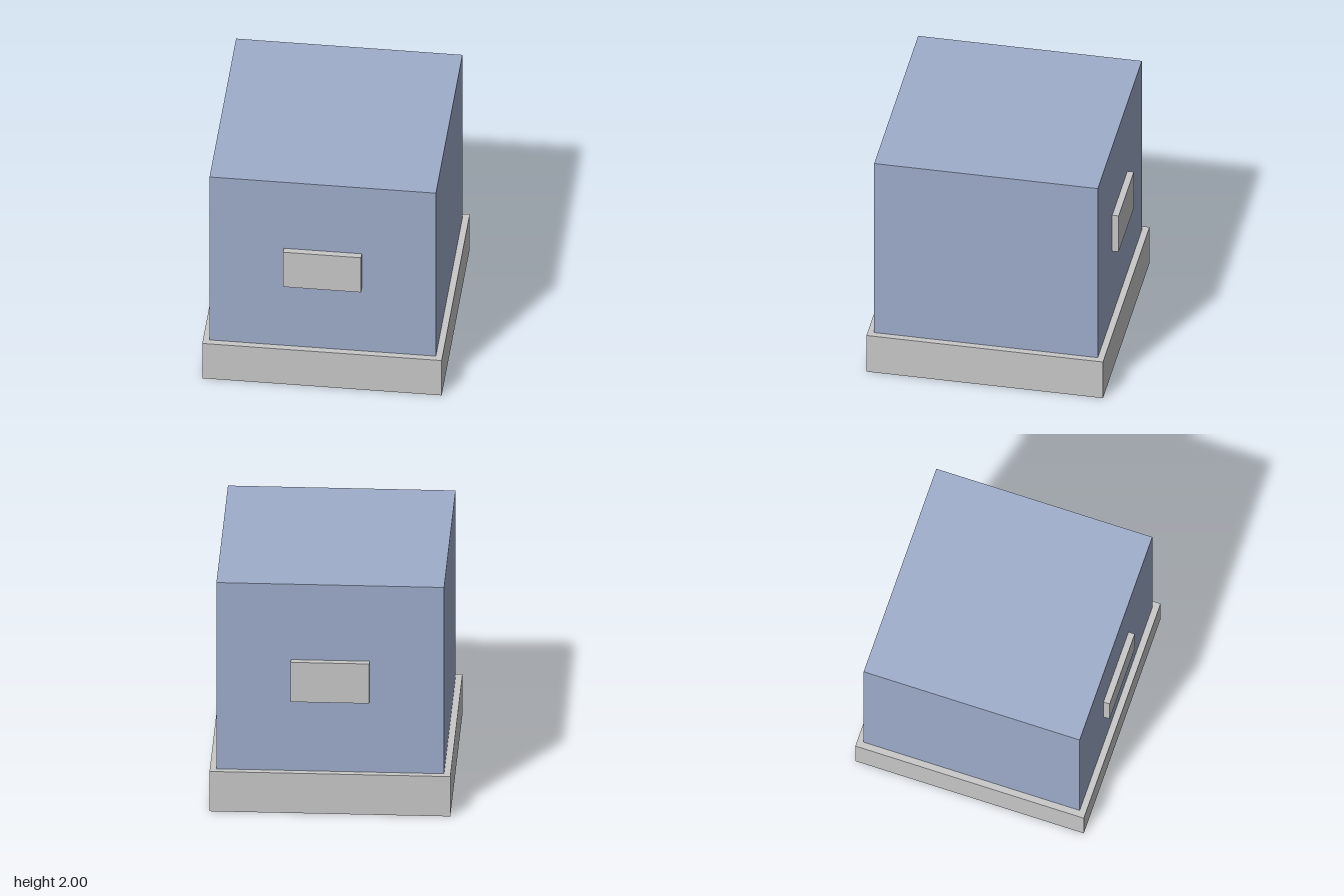
import * as THREE from 'three';

export function createModel() {
  const model = new THREE.Group();
  model.name = 'boxOnPlinth';

  const blue = new THREE.MeshStandardMaterial({ color: 0x9eadcb });
  blue.name = 'soft blue';
  const grey = new THREE.MeshStandardMaterial({ color: 0xc8c8c8 });
  grey.name = 'light grey';

  // Adds a box standing on height y0
  function addBox(name, material, width, height, depth, y0, z = 0) {
    const mesh = new THREE.Mesh(new THREE.BoxGeometry(width, height, depth), material);
    mesh.name = name;
    mesh.position.set(0, y0 + height / 2, z);
    model.add(mesh);
  }

  const baseSize = 1.93, baseHeight = 0.352, bodySize = 1.825;
  const plateDepth = (baseSize - bodySize) / 2;

  // Wide base and the cube standing on it
  addBox('base', grey, baseSize, baseHeight, baseSize, 0);
  addBox('body', blue, bodySize, 2 - baseHeight, bodySize, baseHeight);

  // Raised plates on the front and back, flush with the base edge
  for (const [name, side] of [['frontPlate', 1], ['backPlate', -1]]) {
    addBox(name, grey, 0.63, 0.35, plateDepth, 0.983, side * (bodySize + plateDepth) / 2);
  }

  return model;
}
